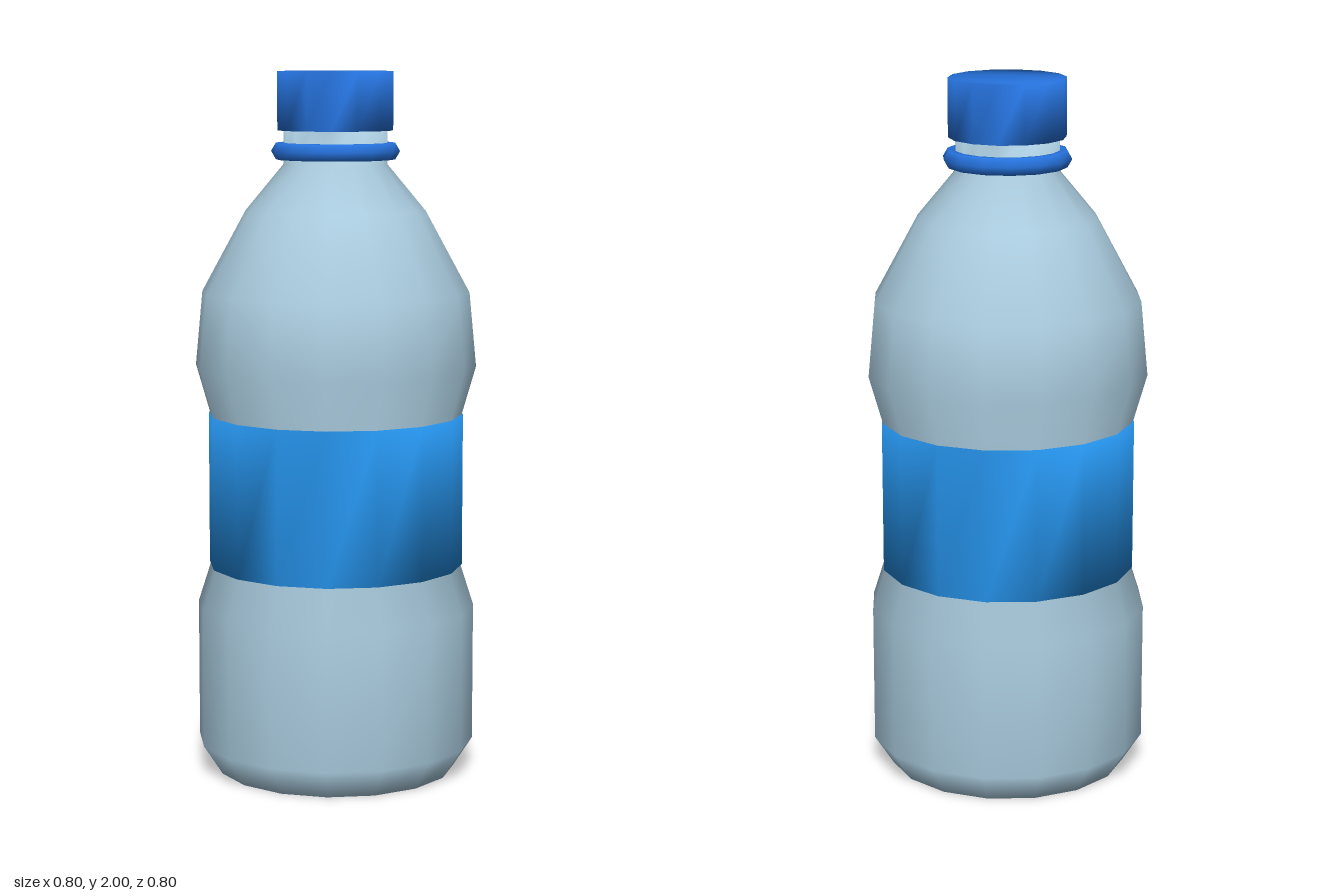
import * as THREE from 'three';

const material = (name, color, side = THREE.FrontSide) => {
  const m = new THREE.MeshStandardMaterial({ color, side });
  m.name = name;
  return m;
};

// Smooth turned solid: profile of [radius, y] from bottom to top, both ends closed
// with flat polygons that share their normals with the wall.
function turned(profile, sides) {
  const positions = [];
  const index = [];
  for (const [r, y] of profile) {
    for (let i = 0; i < sides; i++) {
      const a = (i / sides) * Math.PI * 2;
      positions.push(r * Math.sin(a), y, r * Math.cos(a));
    }
  }
  for (let k = 0; k < profile.length - 1; k++) {
    for (let i = 0; i < sides; i++) {
      const a = k * sides + i;
      const b = k * sides + ((i + 1) % sides);
      index.push(a, b, b + sides, a, b + sides, a + sides);
    }
  }
  // End polygons, cut into strips
  const top = (profile.length - 1) * sides;
  let low = 0;
  let high = sides - 1;
  while (high - low > 1) {
    const tris = [[low, low + 1, high]];
    if (high - low > 2) tris.push([low + 1, high - 1, high]);
    for (const [a, b, c] of tris) {
      index.push(top + a, top + b, top + c, a, c, b);
    }
    low++;
    high--;
  }
  const g = new THREE.BufferGeometry();
  g.setAttribute('position', new THREE.Float32BufferAttribute(positions, 3));
  g.setIndex(index);
  g.computeVertexNormals();
  return g;
}

export function createModel() {
  const group = new THREE.Group();
  group.name = 'bottle';
  const plastic = material('paleBluePlastic', 0xabcde0);
  const labelBlue = material('labelBlue', 0x2591e8);
  const capBlue = material('capBlue', 0x2673de);

  const add = (name, geometry, mat) => {
    const mesh = new THREE.Mesh(geometry, mat);
    mesh.name = name;
    group.add(mesh);
    return mesh;
  };

  // Body with chamfered base, waist, shoulder and neck
  add('body', turned([
    [0.342, 0], [0.397, 0.085], [0.397, 0.48], [0.357, 0.605], [0.357, 1.02],
    [0.4, 1.17], [0.38, 1.38], [0.255, 1.61], [0.147, 1.74], [0.147, 1.86],
  ], 16), plastic);

  // Label wrapped round the waist
  add('label', turned([[0.364, 0.597], [0.364, 1.032]], 16), labelBlue);

  // Screw cap
  add('cap', turned([[0.165, 1.835], [0.165, 2]], 14), capBlue);

  // Collar ring on the neck
  const ring = new THREE.TorusGeometry(0.155, 0.027, 6, 14);
  ring.rotateX(-Math.PI / 2);
  add('collarRing', ring, capBlue).position.y = 1.777;

  return group;
}
